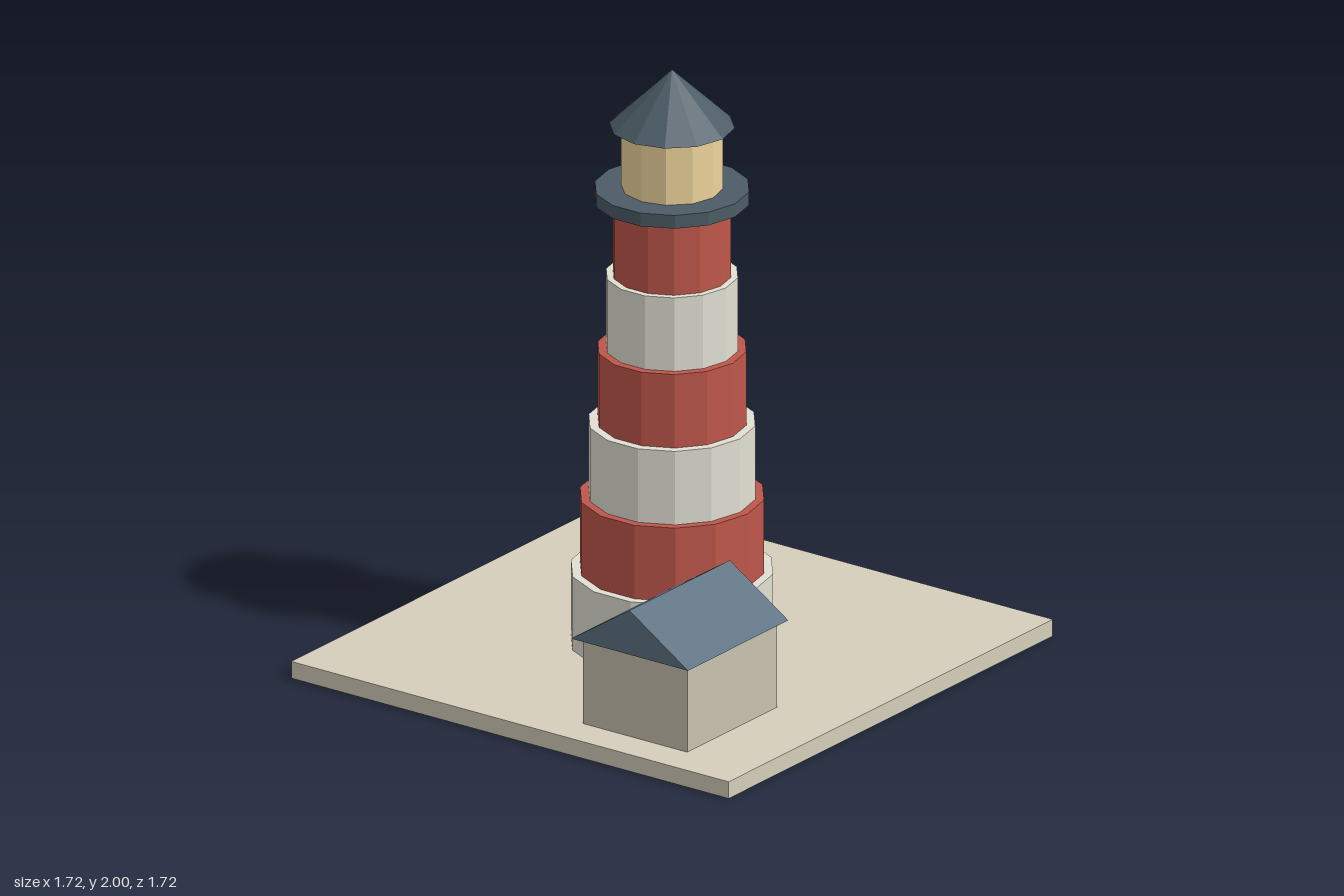
import * as THREE from 'three';

const material = (color) => new THREE.MeshStandardMaterial({ color, flatShading: true });
const sand = material(0xd6cebc);
const white = material(0xe2e0d4);
const red = material(0xbf574b);
const slate = material(0x4c5c66);
const glow = material(0xeed49c);
const wallPaint = material(0xcac2b0);
const roofBlue = material(0x5e7282);

export function createModel() {
  const model = new THREE.Group();

  const add = (name, geometry, mat, x, y, z) => {
    const mesh = new THREE.Mesh(geometry, mat);
    mesh.name = name;
    mesh.position.set(x, y, z);
    model.add(mesh);
  };
  // Upright drum resting on height y
  const drum = (name, radius, y, height, sides, mat) =>
    add(name, new THREE.CylinderGeometry(radius, radius, height, sides), mat, 0, y + height / 2, 0);

  // Square ground slab
  const slabTop = 0.057;
  add('groundSlab', new THREE.BoxGeometry(1.72, slabTop, 1.72), sand, 0, slabTop / 2, 0);

  // Tower: stepped drums in alternating colours
  const radii = [0.325, 0.296, 0.268, 0.239, 0.212, 0.19];
  const bandHeight = 0.25;
  radii.forEach((radius, i) =>
    drum(`towerBand${i + 1}`, radius, slabTop + i * bandHeight, bandHeight, 14, i % 2 ? red : white));

  // Gallery deck, lantern room and pointed cap
  const towerTop = slabTop + radii.length * bandHeight;
  drum('galleryDeck', 0.248, towerTop, 0.045, 14, slate);
  drum('lanternRoom', 0.162, towerTop + 0.045, 0.208, 12, glow);
  add('lanternCap', new THREE.ConeGeometry(0.2, 0.19, 12), slate, 0, 1.905, 0);

  // Keeper's hut beside the tower
  const wallTop = 0.35;
  add('hutWalls', new THREE.BoxGeometry(0.475, wallTop - slabTop, 0.41), wallPaint,
    -0.498, (wallTop + slabTop) / 2, 0.4);

  // Gable roof: triangular prism with its ridge along x
  const gable = new THREE.Shape([
    new THREE.Vector2(-0.23, 0), new THREE.Vector2(0.23, 0), new THREE.Vector2(0, 0.15),
  ]);
  const roof = new THREE.ExtrudeGeometry(gable, { depth: 0.533, bevelEnabled: false });
  roof.rotateY(Math.PI / 2);
  add('hutRoof', roof, roofBlue, -0.766, wallTop, 0.4);

  return model;
}
